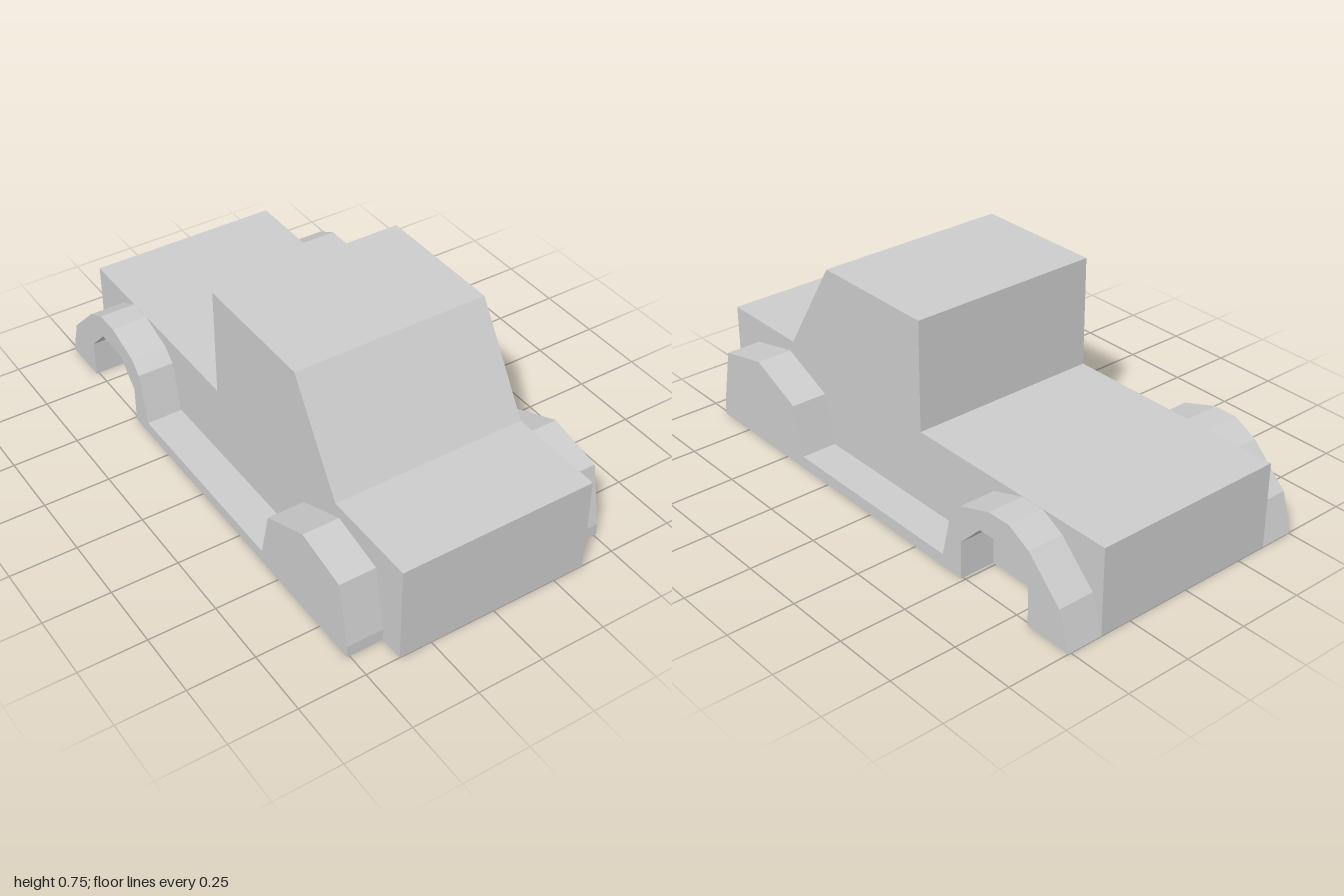
import * as THREE from 'three';

const material = new THREE.MeshStandardMaterial({ color: 0xcccccc, flatShading: true });

// Extrudes a side profile of [z, y] points across x, centred on centreX.
function sidePart(name, profile, width, centreX) {
  const shape = new THREE.Shape(profile.map(([z, y]) => new THREE.Vector2(z, y)));
  const geometry = new THREE.ExtrudeGeometry(shape, { depth: width, bevelEnabled: false });
  geometry.rotateY(-Math.PI / 2);
  geometry.translate(centreX + width / 2, 0, 0);
  const mesh = new THREE.Mesh(geometry, material);
  mesh.name = name;
  return mesh;
}

export function createModel() {
  const group = new THREE.Group();
  group.name = 'pickupTruck';

  // Hood, sloped windscreen, cab and covered bed in one profile
  const bodyWidth = 0.744;
  group.add(sidePart('body', [
    [1, 0], [1, 0.372], [0.63, 0.372], [0.395, 0.745],
    [-0.112, 0.745], [-0.112, 0.328], [-1, 0.328], [-1, 0],
  ], bodyWidth, 0));

  // Front fender, running board and rear fender with its open wheel arch
  const fenderProfile = [
    [0.908, 0], [0.908, 0.047], [0.86, 0.28], [0.652, 0.327], [0.443, 0.235], [0.397, 0.047],
    [-0.395, 0.047], [-0.44, 0.235], [-0.488, 0.28], [-0.628, 0.327], [-0.722, 0.327],
    [-0.813, 0.28], [-0.955, 0.142], [-1, 0],
    [-0.813, 0], [-0.813, 0.142], [-0.72, 0.237], [-0.582, 0.237], [-0.488, 0.142], [-0.488, 0],
  ];
  const fenderWidth = 0.138;
  for (const side of [1, -1]) {
    const name = side > 0 ? 'leftFenders' : 'rightFenders';
    group.add(sidePart(name, fenderProfile, fenderWidth, side * (bodyWidth + fenderWidth) / 2));
  }

  return group;
}
